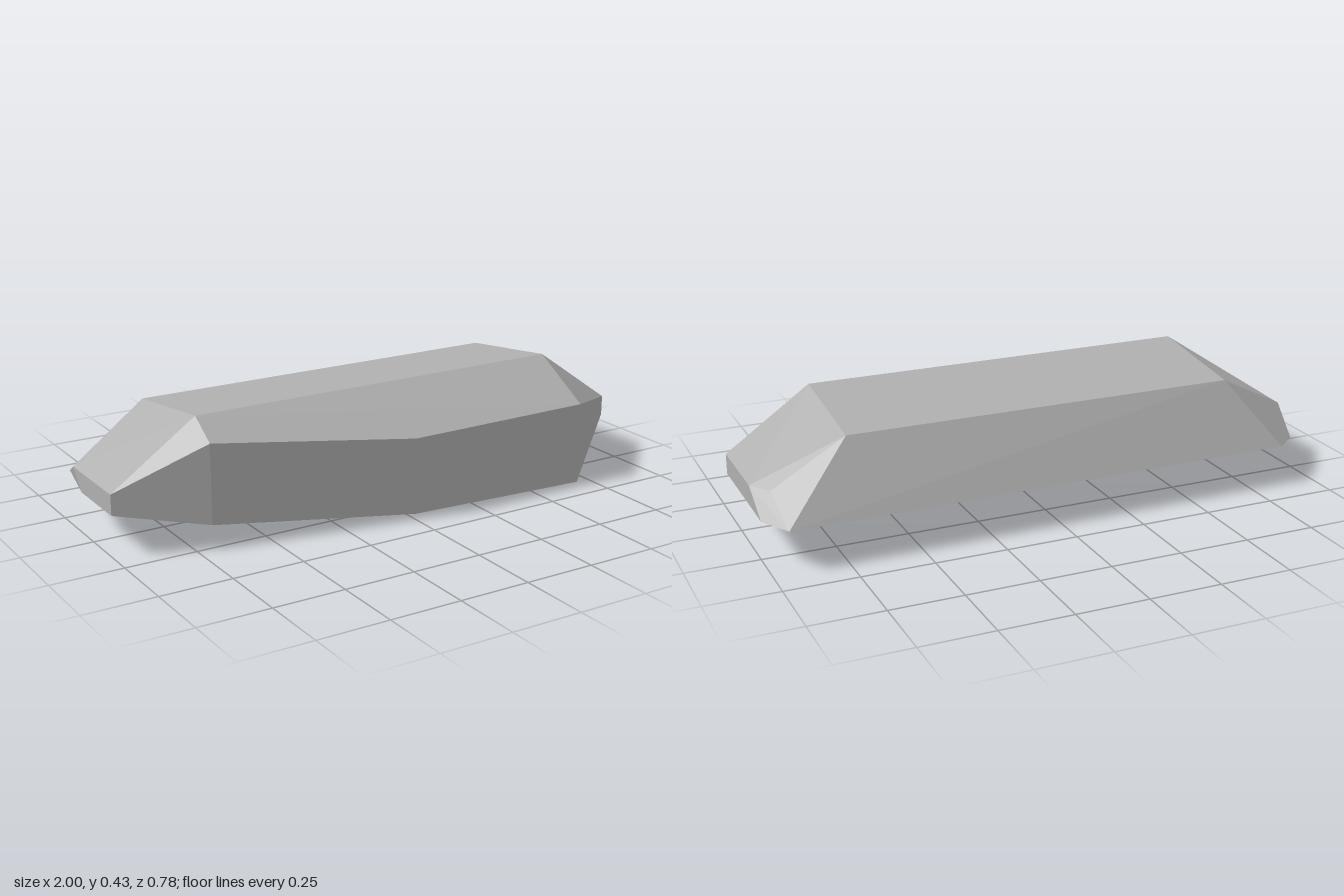
import * as THREE from 'three';
import { ConvexGeometry } from 'three/addons/geometries/ConvexGeometry.js';

const stone = new THREE.MeshStandardMaterial({ color: 0xb0b0b0 });
stone.name = 'stone grey';

export function createModel() {
  const group = new THREE.Group();
  group.name = 'rockSlab';

  const corners = [
    // flat top
    [-0.70, 0.425, 0.165], [0.70, 0.425, 0.165], [0.70, 0.375, -0.242], [-0.70, 0.375, -0.246],
    // upper front rim
    [-1, 0.216, 0.163], [-0.70, 0.36, 0.265], [0, 0.288, 0.388], [0.70, 0.293, 0.39], [1, 0.216, 0.163],
    // lower front rim
    [-1, 0.145, 0.163], [-0.70, 0.085, 0.265], [0, 0.02, 0.388], [0.70, 0, 0.39], [1, 0.145, 0.163],
    // chipped left end
    [1, 0.216, -0.145], [0.95, 0.22, -0.225], [1, 0.143, -0.28],
    // chipped right end
    [-1, 0.216, -0.145], [-1, 0.145, -0.08], [-0.93, 0.22, -0.21], [-0.95, 0.143, -0.31],
    // back edge
    [0.94, 0.143, -0.39], [-0.87, 0.143, -0.375],
  ].map((p) => new THREE.Vector3(...p));

  // faceted stone stretched over the corners
  const rock = new THREE.Mesh(new ConvexGeometry(corners), stone);
  rock.name = 'rock';
  group.add(rock);
  return group;
}
